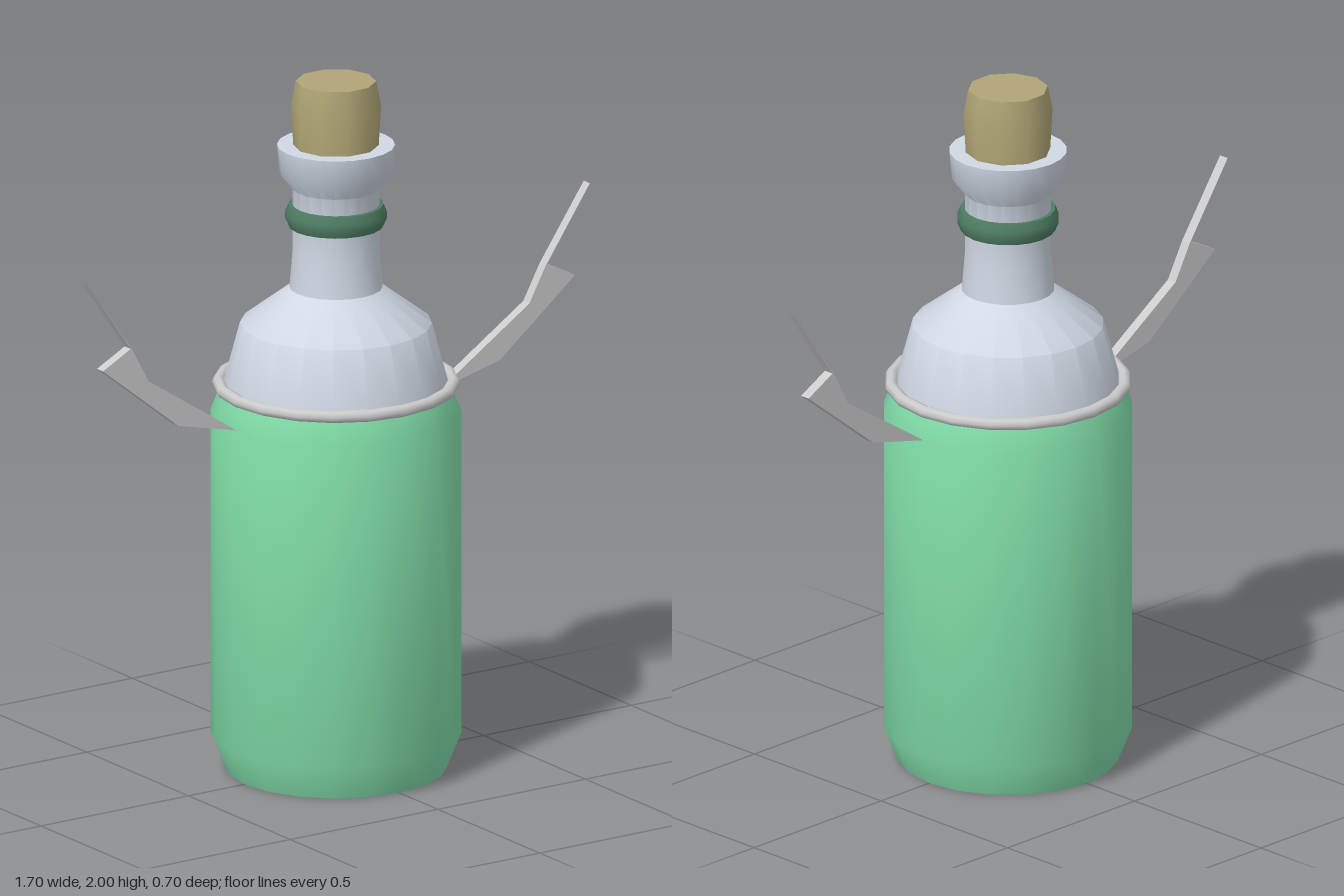
import * as THREE from 'three';
import { toCreasedNormals } from 'three/addons/utils/BufferGeometryUtils.js';

const material = (color) => new THREE.MeshStandardMaterial({ color });

// Turned part from [radius, height] pairs, listed bottom to top
function turned(name, profile, sides, mat) {
  const points = profile.map(([r, y]) => new THREE.Vector2(r, y));
  const geometry = new THREE.LatheGeometry(points, sides, Math.PI / 2);
  const mesh = new THREE.Mesh(toCreasedNormals(geometry, 0.7), mat);
  mesh.name = name;
  return mesh;
}

export function createModel() {
  const group = new THREE.Group();
  group.name = 'wingedBottle';

  const glass = material(0xd0d8e4);
  const liquid = material(0x80dca8);
  const band = material(0x4f7d63);
  const cork = material(0xb0a575);
  const metal = material(0xcccccc);

  // Filled lower body with bevelled base and top
  group.add(turned('body', [
    [0, 0], [0.31, 0], [0.35, 0.1], [0.35, 1.04], [0.325, 1.105], [0, 1.105],
  ], 20, liquid));

  // Shoulder, neck and flared lip
  group.add(turned('shoulderAndNeck', [
    [0.315, 1.1], [0.312, 1.13], [0.268, 1.295], [0.13, 1.4], [0.122, 1.5],
    [0.122, 1.69], [0.158, 1.735], [0.165, 1.815], [0.155, 1.815], [0, 1.81],
  ], 20, glass));

  // Rim where the shoulder meets the body
  const rim = new THREE.Mesh(new THREE.TorusGeometry(0.328, 0.018, 8, 20), metal);
  rim.name = 'rim';
  rim.rotation.x = Math.PI / 2;
  rim.position.y = 1.12;
  group.add(rim);

  // Band around the neck
  group.add(turned('neckBand', [
    [0.118, 1.58], [0.133, 1.58], [0.142, 1.6], [0.142, 1.62],
    [0.133, 1.642], [0.118, 1.642],
  ], 20, band));

  // Tapered cork stopper
  group.add(turned('cork', [
    [0, 1.79], [0.118, 1.79], [0.126, 1.93], [0.112, 2], [0, 2],
  ], 10, cork));

  // Flat wings, mirrored on both sides
  const outline = [
    [0.33, 1.04], [0.545, 1.092], [0.8, 1.296], [0.708, 1.34],
    [0.85, 1.555], [0.698, 1.344], [0.645, 1.24], [0.35, 1.046],
  ];
  // The feather tip widens slightly to the inside of the wing
  outline[3] = [0.706, 1.345];
  outline[5] = [0.7, 1.34];
  for (const side of [1, -1]) {
    const shape = new THREE.Shape(outline.map(([x, y]) => new THREE.Vector2(side * x, y)));
    const geometry = new THREE.ExtrudeGeometry(shape, { depth: 0.03, bevelEnabled: false });
    geometry.translate(0, 0, -0.015);
    const wing = new THREE.Mesh(geometry, metal);
    wing.name = side > 0 ? 'leftWing' : 'rightWing';
    group.add(wing);
  }

  return group;
}
